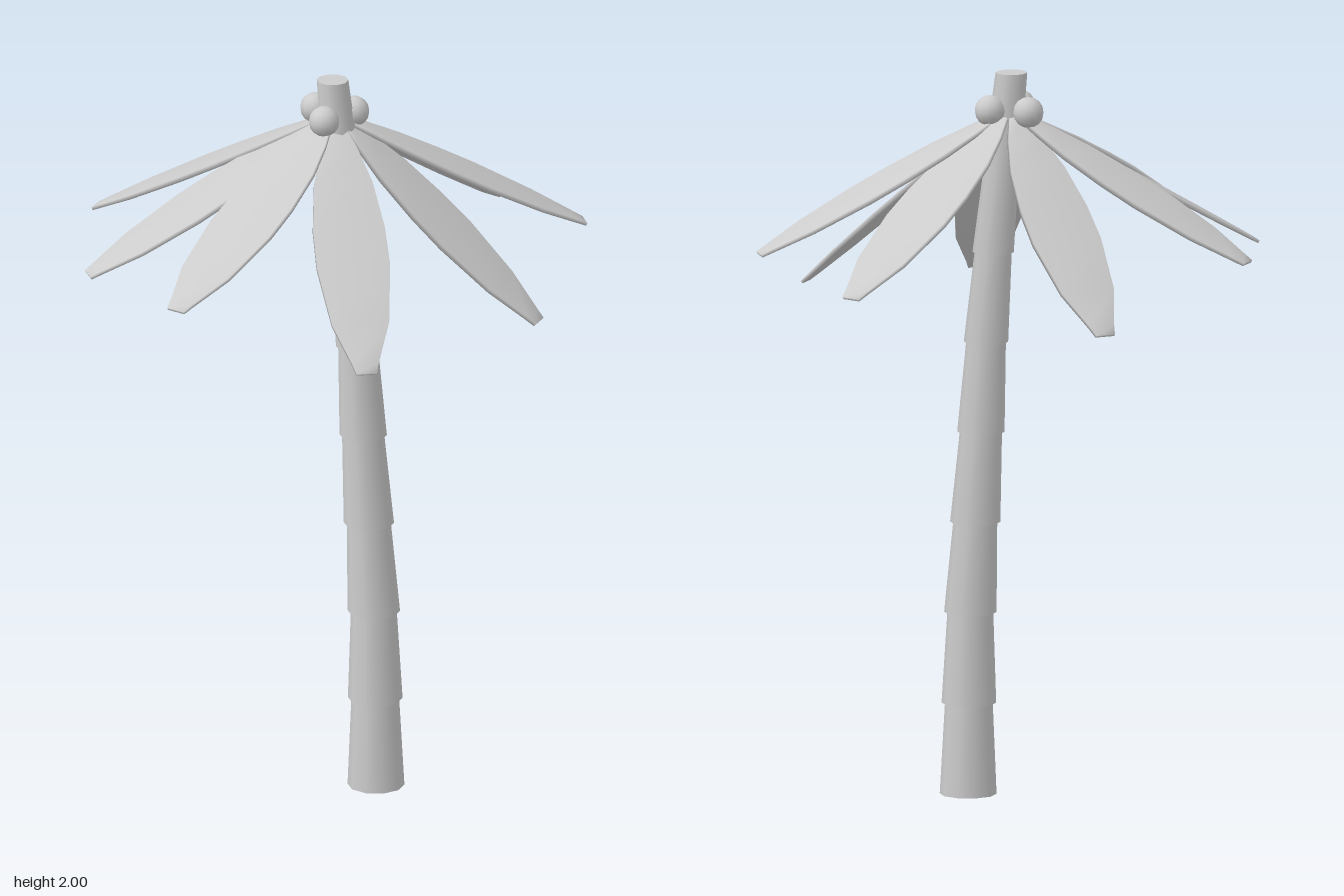
import * as THREE from 'three';

const material = new THREE.MeshStandardMaterial({ color: 0xcccccc });

// Trunk centre line [x, z] and lower radius at every quarter unit of height
const STEP = 0.25;
const CENTRES = [
  [0.08, 0.13], [0.078, 0.13], [0.075, 0.126], [0.065, 0.112], [0.053, 0.098],
  [0.043, 0.082], [0.029, 0.06], [0.011, 0.037], [-0.01, 0.015],
];
const RADII = [0.077, 0.074, 0.071, 0.068, 0.064, 0.06, 0.056, 0.051];

// Tapered ring of bark, sheared so that it follows the leaning trunk
function trunkSegment(i) {
  const [x0, z0] = CENTRES[i], [x1, z1] = CENTRES[i + 1];
  const geo = new THREE.CylinderGeometry(RADII[i] * 0.84, RADII[i], STEP, 10);
  const pos = geo.attributes.position;
  for (let k = 0; k < pos.count; k++) {
    const t = pos.getY(k) / STEP + 0.5;
    pos.setXYZ(k, pos.getX(k) + x0 + (x1 - x0) * t, (i + t) * STEP, pos.getZ(k) + z0 + (z1 - z0) * t);
  }
  const mesh = new THREE.Mesh(geo, material);
  mesh.name = 'trunkSegment';
  return mesh;
}

// Frond outline: [fraction of length, half width, half thickness]
const OUTLINE = [
  [0, 0.02, 0.005], [0.1, 0.05, 0.006], [0.24, 0.08, 0.007], [0.42, 0.098, 0.007],
  [0.57, 0.1, 0.007], [0.8, 0.078, 0.006], [0.96, 0.036, 0.005], [1, 0.028, 0.004],
];

// Flat closed blade from root to tip, lofted through rectangular sections
function frond(root, tip) {
  const along = tip.clone().sub(root);
  const side = new THREE.Vector3(0, 1, 0).cross(along).normalize();
  const up = along.clone().cross(side).normalize();
  const points = [], index = [];
  for (const [t, w, h] of OUTLINE) {
    for (const [a, b] of [[-1, -1], [1, -1], [1, 1], [-1, 1]]) {
      const p = root.clone().addScaledVector(along, t).addScaledVector(side, a * w).addScaledVector(up, b * h);
      points.push(p);
    }
  }
  const last = (OUTLINE.length - 1) * 4;
  for (let s = 0; s < last; s += 4) {
    for (let k = 0; k < 4; k++) {
      const a = s + k, b = s + (k + 1) % 4;
      index.push(a, b, b + 4, a, b + 4, a + 4);
    }
  }
  index.push(0, 2, 1, 0, 3, 2, last, last + 1, last + 2, last, last + 2, last + 3);
  const geo = new THREE.BufferGeometry().setFromPoints(points);
  geo.setIndex(index);
  geo.computeVertexNormals();
  const mesh = new THREE.Mesh(geo, material);
  mesh.name = 'frond';
  return mesh;
}

export function createModel() {
  const model = new THREE.Group();
  model.name = 'palmTree';

  const trunk = new THREE.Group();
  trunk.name = 'trunk';
  RADII.forEach((_, i) => trunk.add(trunkSegment(i)));
  model.add(trunk);

  // Eight drooping fronds, given by their tips
  const crown = new THREE.Group();
  crown.name = 'crown';
  const tips = [
    [0.69, 1.53, 0.035], [0.545, 1.475, -0.375], [-0.11, 1.38, -0.585], [-0.55, 1.53, -0.43],
    [-0.695, 1.505, 0.015], [-0.565, 1.54, 0.435], [-0.07, 1.36, 0.58], [0.468, 1.385, 0.378],
  ];
  for (const t of tips) {
    const tip = new THREE.Vector3(...t);
    const out = new THREE.Vector3(t[0], 0, t[2]).normalize();
    const root = new THREE.Vector3(-0.005, 1.88, 0.01).addScaledVector(out, 0.035);
    crown.add(frond(root, tip));
  }
  model.add(crown);

  // Coconuts clustered around the top of the trunk
  const nut = new THREE.SphereGeometry(0.042, 12, 8);
  for (const [x, z] of [[-0.04, -0.05], [0.053, 0.005], [-0.046, 0.06]]) {
    const mesh = new THREE.Mesh(nut, material);
    mesh.name = 'coconut';
    mesh.position.set(x, 1.9, z);
    model.add(mesh);
  }
  return model;
}
